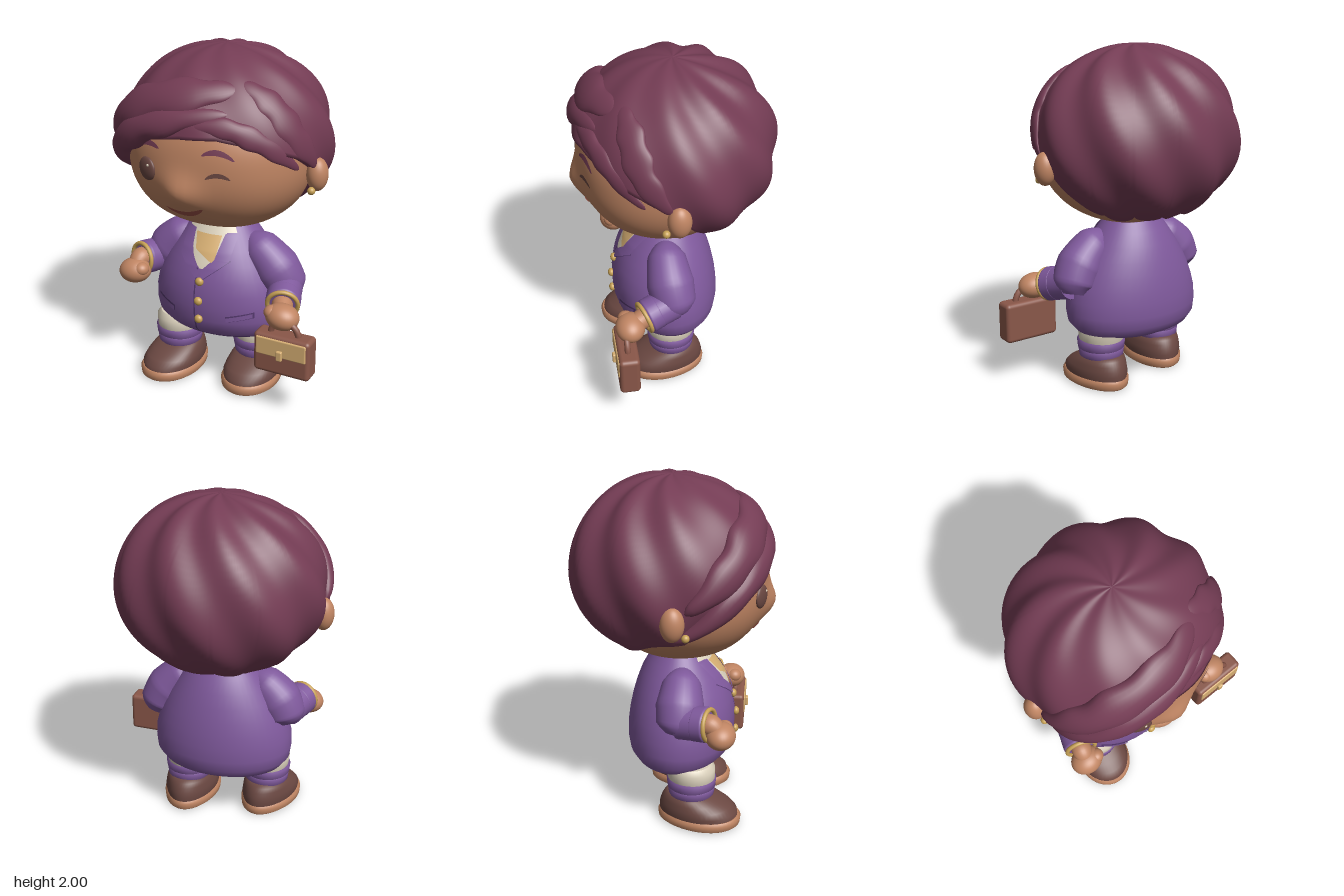
import * as THREE from 'three';
import { RoundedBoxGeometry } from 'three/addons/geometries/RoundedBoxGeometry.js';

const V = (x, y, z) => new THREE.Vector3(x, y, z);
const { sin, cos, sqrt, exp, max, min, abs, PI } = Math;
const lerp = THREE.MathUtils.lerp;
const CX = -0.033; // the figure stands slightly off the middle, the bag fills the other side

// Closed rings of points joined into a capped solid, turned outward by its signed volume
function loft(rings) {
  const n = rings[0].length, pos = [], idx = [];
  const add = (p) => pos.push(p.x, p.y, p.z) / 3 - 1;
  rings.forEach((r) => r.forEach(add));
  for (let i = 0; i < rings.length - 1; i++) for (let j = 0; j < n; j++) {
    const a = i * n + j, b = i * n + (j + 1) % n;
    idx.push(a, b, a + n, b, b + n, a + n);
  }
  [rings[0], rings[rings.length - 1]].forEach((r, e) => {
    const s = r.map(add), c = add(r.reduce((m, p) => m.addScaledVector(p, 1 / n), V(0, 0, 0)));
    for (let j = 0; j < n; j++) {
      const k = (j + 1) % n;
      if (e) idx.push(s[j], s[k], c); else idx.push(s[k], s[j], c);
    }
  });
  const P = (i) => V(pos[i * 3], pos[i * 3 + 1], pos[i * 3 + 2]);
  let vol = 0;
  for (let i = 0; i < idx.length; i += 3) vol += P(idx[i]).dot(P(idx[i + 1]).cross(P(idx[i + 2])));
  if (vol < 0) idx.reverse();
  const g = new THREE.BufferGeometry();
  g.setAttribute('position', new THREE.Float32BufferAttribute(pos, 3));
  g.setIndex(idx);
  g.computeVertexNormals();
  return g;
}

// Stacked ovals, each row [y, half width, front z, back z]; toe widens the front
const stack = (rows, toe = 0) => loft(rows.map(([y, rx, zf, zb]) => Array.from({ length: 48 }, (_, i) => {
  const a = i / 48 * 2 * PI;
  return V(rx * cos(a) * (1 + toe * sin(a)), y, (zf + zb) / 2 + (zf - zb) / 2 * sin(a));
})));

// Round limb of changing radius along a curve
function limb(points, radii, ref) {
  const curve = new THREE.CatmullRomCurve3(points), rings = [], N = 24;
  for (let i = 0; i <= N; i++) {
    const t = i / N, f = t * (radii.length - 1), k = min(radii.length - 2, Math.floor(f));
    const r = lerp(radii[k], radii[k + 1], f - k), p = curve.getPoint(t), d = curve.getTangent(t);
    const u = ref.clone().cross(d).normalize(), w = d.clone().cross(u);
    rings.push(Array.from({ length: 28 }, (_, j) => {
      const a = j / 28 * 2 * PI;
      return p.clone().addScaledVector(u, r * cos(a)).addScaledVector(w, r * sin(a));
    }));
  }
  return loft(rings);
}

// Thin patch laid over a front surface: f(u, v) gives x and y
function patch(f, surf, lift) {
  const g = new THREE.PlaneGeometry(1, 1, 16, 12), p = g.attributes.position;
  for (let i = 0; i < p.count; i++) {
    const [x, y] = f(p.getX(i) + 0.5, p.getY(i) + 0.5);
    p.setXYZ(i, x, y, surf(x, y) + lift);
  }
  g.computeVertexNormals();
  return g;
}
// Patch with four corners: top left, top right, bottom left, bottom right
const quad = (tl, tr, bl, br) => (u, v) => [0, 1].map((k) => lerp(lerp(bl[k], br[k], u), lerp(tl[k], tr[k], u), v));
// Arched stroke, thickest in the middle
const stroke = (x0, y0, x1, y1, bend, w) => (u, v) => [lerp(x0, x1, u),
  lerp(y0, y1, u) + bend * 4 * u * (1 - u) + (v - 0.5) * w * (0.1 + 0.9 * sqrt(max(0, sin(PI * u))))];

// Head surface: a slightly squared ellipsoid with a soft nose
const HP = 2.25, HX = 0.53, HY = 0.44, HZ = 0.507;
const noseBump = (x, y) => 0.06 * exp(-0.5 * (((x + 0.04) / 0.08) ** 2 + ((y - 1.285) / 0.075) ** 2));
const faceZ = (x, y) => 0.03 + noseBump(x, y)
  + HZ * max(0, 1 - abs((x - CX) / HX) ** HP - abs((y - 1.42) / HY) ** HP) ** (1 / HP);

// Jacket rows and front surface
const jacketRows = [[0.3, 0.15, 0.15, -0.08], [0.308, 0.25, 0.22, -0.15], [0.345, 0.37, 0.3, -0.22], [0.395, 0.41, 0.345, -0.25],
  [0.46, 0.418, 0.365, -0.26], [0.54, 0.414, 0.37, -0.257], [0.62, 0.394, 0.367, -0.247], [0.7, 0.364, 0.35, -0.23],
  [0.78, 0.322, 0.32, -0.207], [0.86, 0.27, 0.278, -0.178], [0.93, 0.22, 0.228, -0.14], [0.99, 0.175, 0.185, -0.1]];
function jacketZ(x, y) {
  let k = 0;
  while (k < jacketRows.length - 2 && jacketRows[k + 1][0] < y) k++;
  const a = jacketRows[k], b = jacketRows[k + 1], t = (y - a[0]) / (b[0] - a[0]);
  const [rx, zf, zb] = [1, 2, 3].map((i) => lerp(a[i], b[i], t));
  return (zf + zb) / 2 + (zf - zb) / 2 * sqrt(max(0, 1 - ((x - CX) / rx) ** 2));
}

// Hair: swirling ridged shell with a hairline, [degrees from the front, height]
const HC = V(-0.03, 1.47, 0);
const hairline = [[-180, 1.055], [-130, 1.055], [-108, 1.13], [-90, 1.19], [-76, 1.2], [-60, 1.35], [-40, 1.47], [-20, 1.565],
  [0, 1.6], [20, 1.61], [45, 1.56], [65, 1.48], [82, 1.38], [94, 1.22], [106, 1.12], [125, 1.055], [180, 1.055]];
function hairEdge(deg) {
  let k = 0;
  while (k < hairline.length - 2 && hairline[k + 1][0] < deg) k++;
  const [a, b] = [hairline[k], hairline[k + 1]];
  const scallop = abs(deg) > 108 ? 0.035 * (1 - sqrt(abs(sin(deg * PI / 180 * 7.5)))) : 0;
  return lerp(a[1], b[1], (deg - a[0]) / (b[0] - a[0])) + scallop;
}
function hairShell() {
  const N = 240, M = 36, rings = [];
  for (let i = 0; i <= M + 2; i++) rings.push(Array.from({ length: N }, (_, j) => {
    const deg = j / N * 360 - 180, a = deg * PI / 180, e = hairEdge(deg) - 1.47;
    const phi = max(0.002, min(1, i / M) * Math.acos(e / (e > 0 ? 0.53 : 0.5)));
    const back = THREE.MathUtils.smoothstep(-cos(a), -0.6, 0.2);
    const amp = min(1, phi / 0.7) * (0.01 + 0.02 * back);
    const ridge = 1 + amp * cos(9 * (a - PI - 0.5 * (phi - PI / 2)));
    const r = sin(phi) * ridge * (1 - max(0, i - M) * 0.08), c = cos(phi);
    return V(HC.x + 0.598 * r * sin(a), HC.y + (c > 0 ? 0.53 * c * ridge : 0.5 * c), 0.574 * r * cos(a));
  }));
  return loft(rings);
}
// Swept lock lying on the hair through front positions [x, y]; height runs from h0 to h1
function lock(path, width, h0, h1) {
  const R = (v) => V(0.595, v.y > 0 ? 0.53 : 0.5, 0.56);
  const onto = (v) => v.divideScalar(v.clone().divide(R(v)).length());
  const normal = (v) => v.clone().divide(R(v)).divide(R(v)).normalize();
  const curve = new THREE.CatmullRomCurve3(path.map(([x, y]) => {
    const p = V(x - HC.x, y - HC.y, 0), q = p.clone().divide(R(p));
    p.z = 0.56 * sqrt(max(0.01, 1 - q.lengthSq()));
    return onto(p);
  }));
  const rings = [], N = 48;
  for (let i = 0; i <= N; i++) {
    const t = i / N, p = onto(curve.getPoint(t)), b = normal(p).cross(curve.getTangent(t)).normalize();
    const s = 0.04 + 0.96 * max(0, sin(PI * t)) ** 0.6, wave = 1 + 0.1 * sin(t * 26);
    rings.push(Array.from({ length: 24 }, (_, j) => {
      const a = j / 24 * 2 * PI, q = onto(p.clone().addScaledVector(b, width * s * wave * cos(a)));
      return q.addScaledVector(normal(q), lerp(h0, h1, t) * s * sin(a)).add(HC);
    }));
  }
  return loft(rings);
}

export function createModel() {
  const root = new THREE.Group();
  const mat = (name, color, side = THREE.FrontSide) => new THREE.MeshStandardMaterial({ name, color, side });
  const skin = mat('skin', 0xc08563), hair = mat('plum hair', 0x743c54), purple = mat('purple cloth', 0x7f599c, THREE.DoubleSide);
  const seam = mat('dark purple seam', 0x563a70, THREE.DoubleSide), brown = mat('shoe brown', 0x6b4842), leather = mat('bag leather', 0x8a5749);
  const gold = mat('gold', 0xc8a256), tan = mat('tan', 0xd8b074, THREE.DoubleSide), cream = mat('cream cloth', 0xdcd2bd, THREE.DoubleSide);
  const lips = mat('lips', 0x9a5046, THREE.DoubleSide);
  const add = (name, geo, m, x = 0, y = 0, z = 0) => {
    const o = new THREE.Mesh(geo, m);
    o.name = name; o.position.set(x, y, z); root.add(o);
    return o;
  };
  const ball = (name, m, x, y, z, rx, ry = rx, rz = rx) => {
    const o = add(name, new THREE.SphereGeometry(1, 32, 24), m, x, y, z);
    o.scale.set(rx, ry, rz);
    return o;
  };

  // Head and ears
  const head = new THREE.SphereGeometry(1, 72, 56), hp = head.attributes.position;
  for (let i = 0; i < hp.count; i++) {
    const d = V(0, 0, 0).fromBufferAttribute(hp, i);
    d.multiplyScalar((abs(d.x) ** HP + abs(d.y) ** HP + abs(d.z) ** HP) ** (-1 / HP));
    const x = CX + HX * d.x * (1 + 0.16 * min(0, d.z)), y = 1.42 + HY * d.y;
    hp.setXYZ(i, x, y, 0.03 + d.z * (d.z > 0 ? HZ : 0.44) + (d.z > 0 ? noseBump(x, y) : 0));
  }
  head.computeVertexNormals();
  add('head', head, skin);
  for (const s of [-1, 1]) {
    ball('ear', skin, CX + s * 0.578, 1.345, 0.055, 0.06, 0.095, 0.065);
    ball('earring', gold, CX + s * 0.574, 1.27, 0.125, 0.022);
  }

  // Face: open eye, wink, brows and smile
  ball('openEye', brown, -0.255, 1.39, faceZ(-0.255, 1.39), 0.066, 0.066, 0.022).rotation.y = -0.38;
  ball('eyeHighlight', cream, -0.237, 1.417, faceZ(-0.237, 1.417) + 0.019, 0.008, 0.008, 0.005);
  add('wink', patch(stroke(0.112, 1.398, 0.24, 1.398, 0.022, 0.026), faceZ, 0.007), brown);
  add('rightBrow', patch(stroke(-0.345, 1.5, -0.165, 1.522, 0.027, 0.03), faceZ, 0.01), hair);
  add('leftBrow', patch(stroke(0.09, 1.522, 0.258, 1.5, 0.03, 0.03), faceZ, 0.01), hair);
  add('smile', patch(stroke(-0.155, 1.178, 0.08, 1.208, -0.035, 0.04), faceZ, 0.007), lips);

  // Hair and swept locks
  add('hair', hairShell(), hair);
  add('upperFringe', lock([[0.21, 1.84], [0.0, 1.81], [-0.3, 1.72], [-0.5, 1.58], [-0.605, 1.4]], 0.12, 0.035, 0.1), hair);
  add('lowerFringe', lock([[0.2, 1.73], [-0.08, 1.68], [-0.32, 1.59], [-0.5, 1.44], [-0.575, 1.2]], 0.085, 0.04, 0.1), hair);
  add('leftFringe', lock([[-0.02, 1.66], [0.2, 1.665], [0.38, 1.58], [0.51, 1.42]], 0.06, 0.035, 0.018), hair);
  add('sideLock', lock([[0.2, 1.87], [0.36, 1.77], [0.49, 1.6], [0.55, 1.4]], 0.085, 0.03, 0.024), hair);

  // Jacket, shirt front, lapels, buttons and pockets
  add('jacket', stack(jacketRows), purple, CX);
  const lay = (name, f, m, lift) => add(name, patch(f, jacketZ, lift), m);
  const vee = (u, v) => [CX + (u - 0.5) * (0.02 + 0.175 * (1 - (1 - v) ** 2.6)), lerp(0.768, 0.97, v)];
  lay('shirtFront', vee, cream, 0.006);
  lay('scarf', quad([-0.117, 0.945], [0.045, 0.945], [-0.09, 0.865], [0.04, 0.8]), tan, 0.012);
  lay('collar', quad([-0.165, 0.988], [0.095, 0.988], [-0.185, 0.956], [0.115, 0.956]), cream, 0.009);
  lay('jacketSeam', quad([-0.06, 0.77], [-0.052, 0.77], [-0.06, 0.32], [-0.05, 0.32]), seam, 0.005);
  lay('hemSeam', quad([-0.3, 0.362], [0.23, 0.362], [-0.3, 0.358], [0.23, 0.358]), seam, 0.005);
  for (const s of [-1, 1]) {
    const at = (x, y) => [CX + s * x, y];
    lay('lapel', quad(at(0.095, 0.955), at(0.16, 0.945), at(0.072, 0.825), at(0.155, 0.82)), purple, 0.015);
    lay('lapelTip', quad(at(0.072, 0.825), at(0.155, 0.82), at(0.004, 0.75), at(0.02, 0.715)), purple, 0.015);
    lay('lapelEdge', quad(at(0.155, 0.826), at(0.16, 0.82), at(0.02, 0.717), at(0.02, 0.71)), seam, 0.009);
    lay('pocketEdge', quad(at(0.165, 0.508), at(0.31, 0.537), at(0.165, 0.472), at(0.31, 0.5)), seam, 0.006);
    lay('pocket', quad(at(0.17, 0.503), at(0.305, 0.531), at(0.17, 0.477), at(0.305, 0.505)), purple, 0.013);
  }
  for (const y of [0.7, 0.585, 0.47]) ball('button', gold, -0.028, y, jacketZ(-0.028, y) + 0.008, 0.025, 0.025, 0.02);

  // Arms: full upper sleeve, slimmer forearm, cuff with trim, hand
  const arms = [
    { s: -1, upper: [[-0.2, 0.9, 0.07], [-0.27, 0.855, 0.075], [-0.36, 0.76, 0.075], [-0.405, 0.67, 0.07], [-0.415, 0.625, 0.065]],
      elbow: [-0.415, 0.695, 0.08], wrist: [-0.47, 0.71, 0.23], hand: [-0.487, 0.655, 0.31] },
    { s: 1, upper: [[0.14, 0.9, 0.07], [0.21, 0.855, 0.075], [0.315, 0.745, 0.07], [0.37, 0.645, 0.055], [0.385, 0.59, 0.045]],
      elbow: [0.38, 0.655, 0.07], wrist: [0.43, 0.615, 0.22], hand: [0.475, 0.585, 0.325] }];
  for (const { s, upper, elbow, wrist, hand } of arms) {
    const ref = V(s, 1, 0), e = V(...elbow), w = V(...wrist), dir = w.clone().sub(e).normalize();
    const along = (d) => w.clone().addScaledVector(dir, d);
    add('upperSleeve', limb(upper.map((q) => V(...q)), [0.05, 0.11, 0.137, 0.125, 0.075], ref), purple);
    add('forearmSleeve', limb([e, along(-0.06), along(0)], [0.1, 0.098, 0.085], ref), purple);
    add('cuff', limb([along(-0.07), along(-0.06), along(0), along(0.015)], [0.085, 0.1, 0.1, 0.088], ref), purple);
    const ring = add('cuffTrim', new THREE.TorusGeometry(0.086, 0.013, 10, 36), gold, ...along(0.018).toArray());
    ring.quaternion.setFromUnitVectors(V(0, 0, 1), dir);
    add('wrist', limb([along(-0.02), along(0.03), V(...hand)], [0.06, 0.06, 0.05], ref), skin);
    ball('hand', skin, ...hand, 0.098, 0.074, 0.085).rotation.z = s * -0.12;
    ball('thumb', skin, hand[0] - s * 0.055, hand[1] + 0.025, hand[2] + 0.02, 0.045, 0.04, 0.045);
  }

  // Legs and shoes, one foot ahead of the other and turned out
  for (const [x, z, turn] of [[-0.28, 0.09, -0.18], [0.187, 0, 0.02]]) {
    const leg = (name, rows, m, toe) => { add(name, stack(rows, toe), m, x, 0, z).rotation.y = turn; };
    leg('trouserLeg', [[0.22, 0.11, 0.16, -0.07], [0.28, 0.13, 0.185, -0.09], [0.34, 0.14, 0.185, -0.1], [0.37, 0.12, 0.16, -0.1]], cream);
    leg('lowerCuff', [[0.165, 0.11, 0.165, -0.07], [0.18, 0.13, 0.18, -0.085], [0.22, 0.135, 0.185, -0.09], [0.23, 0.12, 0.17, -0.075]], purple);
    leg('upperCuff', [[0.215, 0.12, 0.165, -0.07], [0.23, 0.138, 0.188, -0.092], [0.276, 0.143, 0.192, -0.097], [0.286, 0.12, 0.17, -0.075]], purple);
    leg('shoe', [[0.05, 0.153, 0.325, -0.14], [0.085, 0.16, 0.318, -0.143], [0.115, 0.153, 0.285, -0.137], [0.145, 0.143, 0.23, -0.127],
      [0.17, 0.13, 0.175, -0.112], [0.186, 0.11, 0.14, -0.095], [0.19, 0.08, 0.1, -0.06]], brown, 0.12);
    leg('sole', [[0, 0.15, 0.325, -0.135], [0.012, 0.165, 0.338, -0.148], [0.045, 0.168, 0.342, -0.152], [0.06, 0.154, 0.33, -0.14]], skin, 0.12);
  }

  // Handbag
  add('bag', new RoundedBoxGeometry(0.337, 0.24, 0.118, 4, 0.024), leather, 0.508, 0.382, 0.354);
  add('bagFlap', new RoundedBoxGeometry(0.3, 0.108, 0.018, 3, 0.008), tan, 0.508, 0.431, 0.411);
  add('bagClasp', new RoundedBoxGeometry(0.036, 0.06, 0.022, 2, 0.008), tan, 0.505, 0.395, 0.426);
  add('bagHandle', new THREE.TorusGeometry(0.083, 0.018, 10, 28, PI), leather, 0.505, 0.49, 0.355);
  return root;
}
